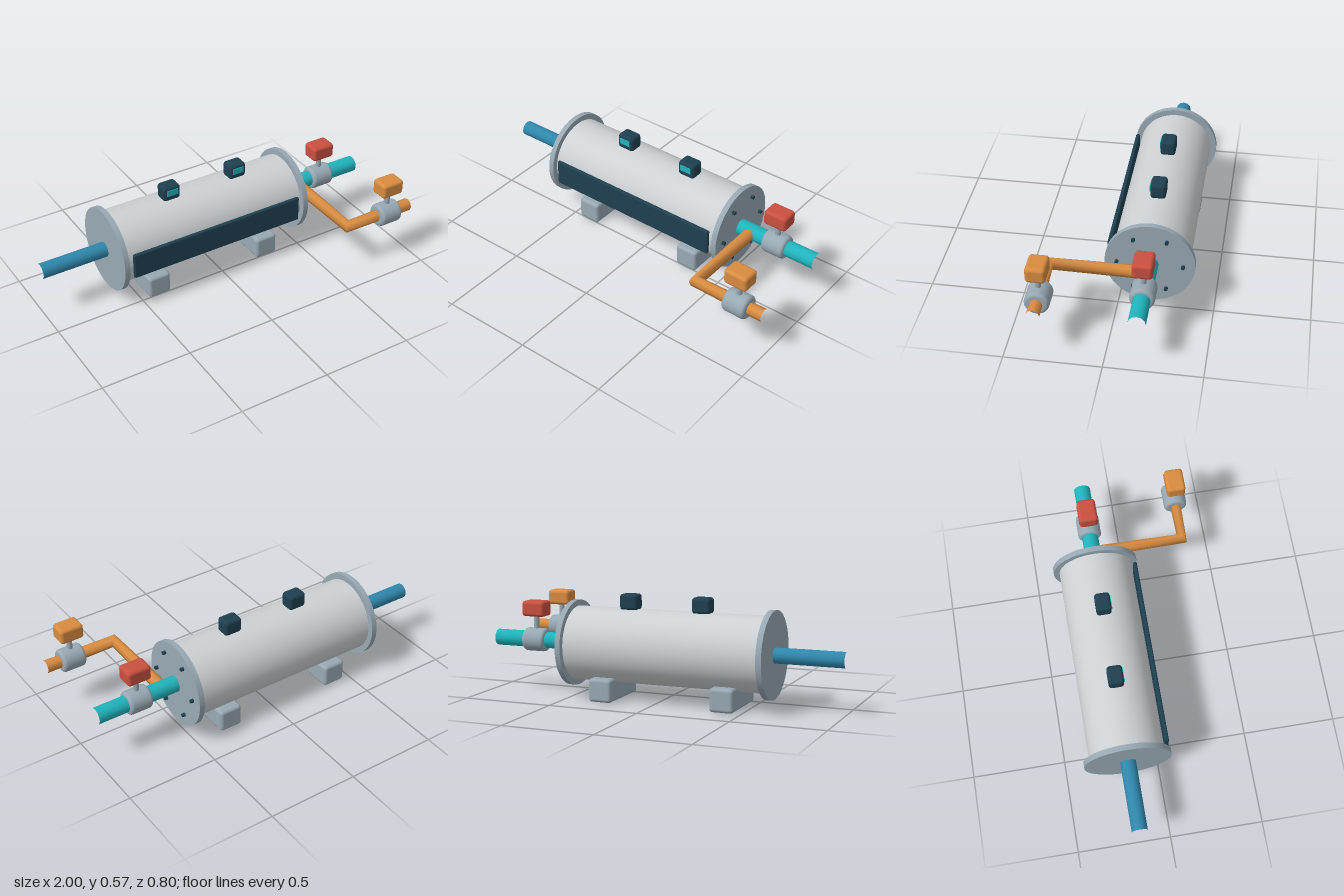
import * as THREE from 'three';
import { RoundedBoxGeometry } from 'three/addons/geometries/RoundedBoxGeometry.js';

const AXIS_Y = 0.287, AXIS_Z = -0.167;   // vessel axis
const DRAIN_Z = 0.337;                   // side branch outlet

const mat = (name, color) => {
  const m = new THREE.MeshStandardMaterial({ color });
  m.name = name;
  return m;
};

// Polyline whose points become the tube's mitred rings
class BentPath extends THREE.Curve {
  constructor(points) { super(); this.points = points; }
  getPointAt(u, target = new THREE.Vector3()) {
    const f = u * (this.points.length - 1);
    const i = Math.min(Math.floor(f), this.points.length - 2);
    return target.lerpVectors(this.points[i], this.points[i + 1], f - i);
  }
  getPoint(t, target) { return this.getPointAt(t, target); }
  getTangentAt(u, target = new THREE.Vector3()) {
    const f = u * (this.points.length - 1), n = this.points.length - 1;
    const a = Math.max(0, Math.ceil(f - 1e-6) - 1);
    const b = Math.min(n, Math.floor(f + 1e-6) + 1);
    const dir = (i) => this.points[i + 1].clone().sub(this.points[i]).normalize();
    return target.copy(dir(a)).add(dir(b - 1)).normalize();
  }
}

export function createModel() {
  const model = new THREE.Group();
  model.name = 'filterVessel';

  const shellGrey = mat('shellGrey', 0xcdd1d3);
  const steel = mat('steel', 0x98a9b4);
  const navy = mat('navy', 0x1f4050);
  const blue = mat('inletBlue', 0x2f88ad);
  const cyan = mat('outletCyan', 0x20b4bd);
  const orange = mat('drainOrange', 0xd98c40);
  const red = mat('handleRed', 0xc9503f);

  const add = (name, geometry, material, x = 0, y = 0, z = 0, parent = model) => {
    const mesh = new THREE.Mesh(geometry, material);
    mesh.name = name;
    mesh.position.set(x, y, z);
    parent.add(mesh);
    return mesh;
  };
  // Cylinder lying along x between two ends
  const rod = (name, r, x0, x1, material, y, z, sides = 48, open = false) => {
    const g = new THREE.CylinderGeometry(r, r, x1 - x0, sides, 1, open).rotateZ(-Math.PI / 2);
    return add(name, g, material, (x0 + x1) / 2, y, z);
  };
  const box = (name, w, h, d, r, material, x, y, z, parent) =>
    add(name, new RoundedBoxGeometry(w, h, d, 3, r), material, x, y, z, parent);

  // Vessel and end flanges
  rod('vesselBody', 0.2, -0.61, 0.5, shellGrey, AXIS_Y, AXIS_Z, 64, true);
  rod('leftFlange', 0.232, -0.627, -0.597, steel, AXIS_Y, AXIS_Z, 64);
  rod('rightFlange', 0.232, 0.488, 0.518, steel, AXIS_Y, AXIS_Z, 64);

  // Flange bolts
  for (let i = 0; i < 6; i++) {
    const a = i * Math.PI / 3;
    rod('flangeBolt', 0.01, 0.51, 0.535, navy,
      AXIS_Y + 0.17 * Math.sin(a), AXIS_Z + 0.17 * Math.cos(a), 8);
  }

  // Feet
  for (const x of [-0.395, 0.287]) box('foot', 0.13, 0.126, 0.35, 0.018, steel, x, 0.063, AXIS_Z);

  // Front panel
  box('frontPanel', 1.03, 0.146, 0.022, 0.008, navy, -0.054, AXIS_Y, 0.049);

  // Sensors with small screens
  for (const x of [-0.232, 0.178]) {
    box('sensor', 0.102, 0.086, 0.082, 0.018, navy, x, 0.524, AXIS_Z);
    add('sensorScreen', new THREE.BoxGeometry(0.066, 0.034, 0.008), cyan, x, 0.532, -0.126);
  }

  // Inlet and outlet pipes
  rod('inletPipe', 0.042, -1, -0.6, blue, AXIS_Y, AXIS_Z, 12, true);
  rod('outletPipe', 0.045, 0.5, 0.985, cyan, AXIS_Y, AXIS_Z, 12, true);

  // Bent drain pipe
  const drainPath = new BentPath([
    new THREE.Vector3(0.59, AXIS_Y, AXIS_Z),
    new THREE.Vector3(0.59, AXIS_Y, DRAIN_Z),
    new THREE.Vector3(1, AXIS_Y, DRAIN_Z),
  ]);
  add('drainPipe', new THREE.TubeGeometry(drainPath, 2, 0.035, 8), orange);

  // Valve: rounded drum, stem and block handle
  const profile = [new THREE.Vector2(0, -0.066)];
  for (const side of [-1, 1]) {
    for (let i = 0; i <= 4; i++) {
      const a = (side < 0 ? i : 4 - i) / 4 * Math.PI / 2;
      profile.push(new THREE.Vector2(0.046 + 0.018 * Math.sin(a), side * (0.048 + 0.018 * Math.cos(a))));
    }
  }
  profile.push(new THREE.Vector2(0, 0.066));
  const drum = new THREE.LatheGeometry(profile, 32).rotateZ(-Math.PI / 2);
  const valve = (name, x, z, handleMaterial) => {
    const group = new THREE.Group();
    group.name = name;
    group.position.set(x, AXIS_Y, z);
    add('valveBody', drum, steel, 0, 0, 0, group);
    add('valveStem', new THREE.CylinderGeometry(0.015, 0.015, 0.1, 16), steel, 0, 0.1, 0, group);
    box('valveHandle', 0.134, 0.085, 0.103, 0.018, handleMaterial, 0, 0.173, 0, group);
    model.add(group);
  };
  valve('outletValve', 0.747, AXIS_Z, red);
  valve('drainValve', 0.851, DRAIN_Z, orange);

  return model;
}
